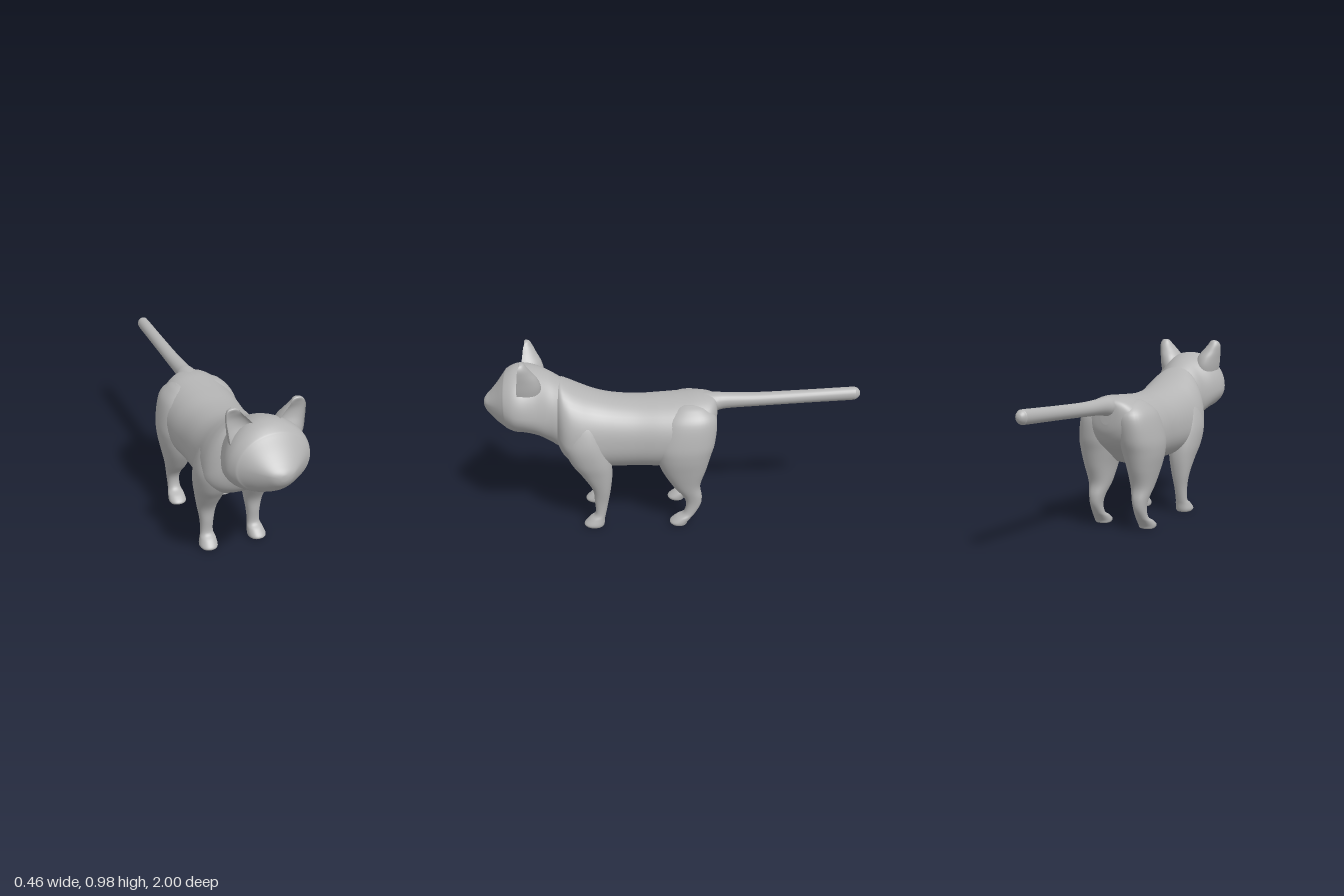
import * as THREE from 'three';

const fur = new THREE.MeshStandardMaterial({ color: 0xb4b4b4 });
fur.name = 'grey fur';

// Smooth interpolation of a list of number rows
function resample(rows, steps) {
  const out = [];
  const last = rows.length - 1;
  for (let i = 0; i < last; i++) {
    const p0 = rows[Math.max(i - 1, 0)], p1 = rows[i], p2 = rows[i + 1], p3 = rows[Math.min(i + 2, last)];
    for (let k = 0; k < steps; k++) {
      const t = k / steps;
      out.push(p1.map((v, c) => {
        const slope = p2[c] - p0[c];
        const bend = 2 * p0[c] - 5 * v + 4 * p2[c] - p3[c];
        const twist = 3 * (v - p2[c]) + p3[c] - p0[c];
        return v + 0.5 * t * (slope + t * (bend + t * twist));
      }));
    }
  }
  out.push(rows[last]);
  return out;
}

// Closed skin through oval sections; each row is [t, xMin, xMax, bMin, bMid, bMax].
// Axis z: t = z, b = y, rows run forward. Axis y: t = y, b = z, rows run downward.
function loft(name, axis, rows, power = 2, sides = 48) {
  const rings = resample(rows, 6);
  const positions = [], index = [];
  const put = (a, b, t) => (axis === 'z' ? positions.push(a, b, t) : positions.push(a, t, b));
  const round = (v) => Math.sign(v) * Math.pow(Math.abs(v), 2 / power);
  for (const [t, x0, x1, lo, mid, hi] of rings) {
    for (let j = 0; j < sides; j++) {
      const angle = (j / sides) * Math.PI * 2;
      const c = round(Math.cos(angle)), s = round(Math.sin(angle));
      put((x0 + x1) / 2 + c * (x1 - x0) / 2, mid + (s > 0 ? s * (hi - mid) : s * (mid - lo)), t);
    }
  }
  for (let i = 0; i < rings.length - 1; i++) {
    for (let j = 0; j < sides; j++) {
      const k = (j + 1) % sides;
      const a = i * sides + j, b = i * sides + k, c = b + sides, d = a + sides;
      index.push(a, b, c, a, c, d);
    }
  }
  // End caps
  const end = (rings.length - 1) * sides, centre = rings.length * sides;
  for (const [t, x0, x1, lo, , hi] of [rings[0], rings[rings.length - 1]]) put((x0 + x1) / 2, (lo + hi) / 2, t);
  for (let j = 0; j < sides; j++) {
    const k = (j + 1) % sides;
    index.push(centre, k, j, centre + 1, end + j, end + k);
  }
  const geometry = new THREE.BufferGeometry();
  geometry.setAttribute('position', new THREE.Float32BufferAttribute(positions, 3));
  geometry.setIndex(index);
  geometry.computeVertexNormals();
  const mesh = new THREE.Mesh(geometry, fur);
  mesh.name = name;
  return mesh;
}

// Symmetric rows: [z, halfWidth, bottom, widestHeight, top]
const symmetric = (rows) => rows.map(([z, w, ...rest]) => [z, -w, w, ...rest]);
// Limb rows: [y, innerX, outerX, back, front]
const limb = (rows) => rows.map(([y, x0, x1, back, front]) => [y, x0, x1, back, (back + front) / 2, front]);
const mirrored = (rows) => rows.map(([t, x0, x1, ...rest]) => [t, -x1, -x0, ...rest]);

export function createModel() {
  const cat = new THREE.Group();
  cat.name = 'cat';

  cat.add(loft('torso', 'z', symmetric([
    [-0.232, 0.03, 0.58, 0.63, 0.68],
    [-0.222, 0.09, 0.53, 0.61, 0.705],
    [-0.19, 0.15, 0.47, 0.58, 0.718],
    [-0.12, 0.195, 0.41, 0.53, 0.724],
    [-0.03, 0.212, 0.35, 0.5, 0.718],
    [0.07, 0.207, 0.33, 0.5, 0.712],
    [0.2, 0.195, 0.33, 0.5, 0.708],
    [0.33, 0.195, 0.33, 0.5, 0.72],
    [0.42, 0.2, 0.33, 0.5, 0.742],
    [0.5, 0.21, 0.345, 0.5, 0.775],
    [0.56, 0.2, 0.38, 0.52, 0.805],
    [0.6, 0.165, 0.42, 0.55, 0.82],
    [0.63, 0.1, 0.48, 0.6, 0.78],
  ]), 2.2));

  // Neck, skull, slanted face and muzzle
  cat.add(loft('head', 'z', symmetric([
    [0.46, 0.08, 0.45, 0.58, 0.72],
    [0.54, 0.12, 0.4, 0.6, 0.785],
    [0.61, 0.145, 0.435, 0.63, 0.832],
    [0.66, 0.158, 0.475, 0.65, 0.862],
    [0.72, 0.19, 0.52, 0.67, 0.887],
    [0.78, 0.21, 0.545, 0.685, 0.9],
    [0.83, 0.21, 0.55, 0.695, 0.895],
    [0.872, 0.19, 0.563, 0.71, 0.873],
    [0.888, 0.173, 0.572, 0.715, 0.855],
    [0.925, 0.13, 0.595, 0.715, 0.803],
    [0.96, 0.088, 0.627, 0.712, 0.76],
    [0.985, 0.055, 0.655, 0.708, 0.735],
    [0.997, 0.025, 0.678, 0.702, 0.718],
    [1.0, 0.006, 0.695, 0.7, 0.705],
  ])));

  cat.add(loft('tail', 'z', symmetric([
    [-1.0, 0.005, 0.698, 0.703, 0.708],
    [-0.994, 0.018, 0.683, 0.703, 0.722],
    [-0.975, 0.03, 0.669, 0.703, 0.736],
    [-0.94, 0.034, 0.665, 0.701, 0.737],
    [-0.7, 0.036, 0.655, 0.69, 0.726],
    [-0.45, 0.039, 0.643, 0.68, 0.717],
    [-0.28, 0.043, 0.633, 0.677, 0.72],
    [-0.22, 0.055, 0.62, 0.672, 0.724],
    [-0.14, 0.06, 0.61, 0.665, 0.722],
  ]), 2, 24));

  const frontLeg = limb([
    [0.69, 0.08, 0.12, 0.45, 0.5],
    [0.66, 0.05, 0.16, 0.42, 0.54],
    [0.6, 0.02, 0.196, 0.385, 0.575],
    [0.5, 0.025, 0.222, 0.36, 0.59],
    [0.4, 0.045, 0.217, 0.34, 0.555],
    [0.32, 0.06, 0.2, 0.335, 0.5],
    [0.23, 0.08, 0.182, 0.345, 0.445],
    [0.15, 0.095, 0.168, 0.36, 0.435],
    [0.08, 0.1, 0.166, 0.375, 0.434],
    [0.05, 0.093, 0.176, 0.382, 0.467],
    [0.02, 0.09, 0.185, 0.385, 0.495],
    [0.005, 0.094, 0.18, 0.39, 0.488],
    [0, 0.105, 0.17, 0.4, 0.475],
  ]);

  const hindLeg = limb([
    [0.7, 0.07, 0.11, -0.11, -0.05],
    [0.68, 0.04, 0.15, -0.17, 0],
    [0.62, 0.012, 0.2, -0.222, 0.07],
    [0.5, 0.015, 0.228, -0.215, 0.11],
    [0.42, 0.03, 0.228, -0.192, 0.1],
    [0.335, 0.052, 0.212, -0.168, 0.07],
    [0.24, 0.07, 0.19, -0.138, 0.012],
    [0.17, 0.09, 0.174, -0.147, -0.045],
    [0.12, 0.1, 0.168, -0.141, -0.061],
    [0.07, 0.1, 0.17, -0.113, -0.047],
    [0.045, 0.093, 0.18, -0.092, -0.003],
    [0.02, 0.09, 0.185, -0.072, 0.027],
    [0.005, 0.094, 0.18, -0.065, 0.02],
    [0, 0.105, 0.17, -0.055, 0.005],
  ]);

  // The front of each ear is dished: its middle lies behind the rim
  const ear = [
    [0.976, 0.152, 0.168, 0.768, 0.777, 0.783],
    [0.968, 0.136, 0.186, 0.756, 0.782, 0.786],
    [0.945, 0.118, 0.197, 0.742, 0.79, 0.777],
    [0.91, 0.085, 0.196, 0.722, 0.794, 0.766],
    [0.87, 0.055, 0.191, 0.698, 0.8, 0.766],
    [0.82, 0.04, 0.184, 0.685, 0.805, 0.78],
    [0.76, 0.04, 0.17, 0.69, 0.8, 0.79],
  ];

  for (const [name, rows, power] of [['FrontLeg', frontLeg, 2.2], ['HindLeg', hindLeg, 2.2], ['Ear', ear, 2]]) {
    cat.add(loft('left' + name, 'y', rows, power, 36));
    cat.add(loft('right' + name, 'y', mirrored(rows), power, 36));
  }
  return cat;
}
